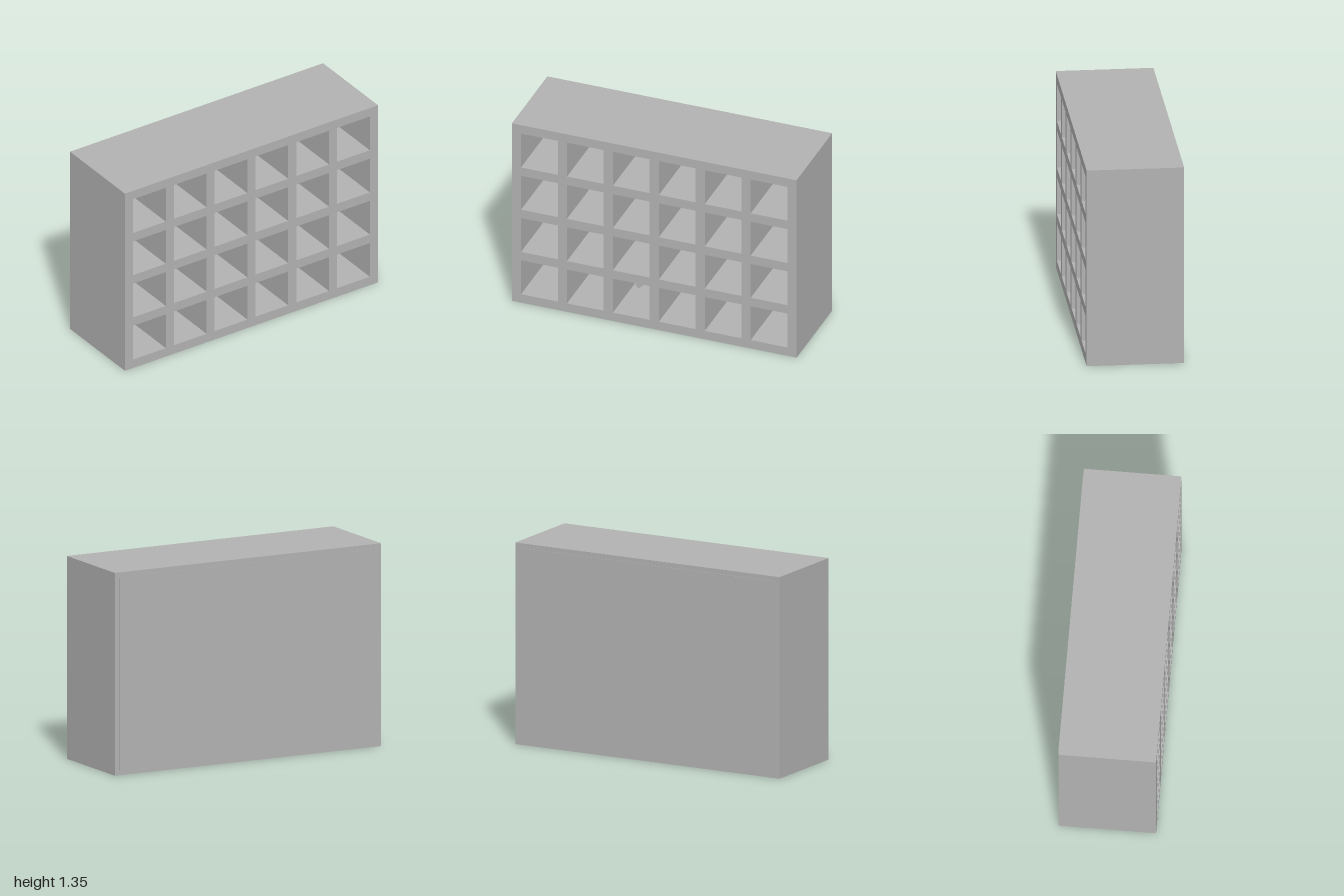
import * as THREE from 'three';

const U = 2 / 31;                       // board thickness; every size follows from it
const COLS = 6, ROWS = 4, CELL = 4 * U, PITCH = 5 * U;
const W = 31 * U, H = 21 * U, D = 10 * U;
const BACK = 0.003;                     // thin back sheet

function rect(path, x, y, w, h) {
  path.moveTo(x, y);
  path.lineTo(x + w, y);
  path.lineTo(x + w, y + h);
  path.lineTo(x, y + h);
  path.closePath();
  return path;
}

export function createModel() {
  const group = new THREE.Group();
  group.name = 'cubbyShelf';
  const grey = new THREE.MeshStandardMaterial({ color: 0xb2b2b2 });
  grey.name = 'grey';

  function add(name, geometry, x, y, z) {
    const mesh = new THREE.Mesh(geometry, grey);
    mesh.name = name;
    mesh.position.set(x, y, z);
    group.add(mesh);
    return mesh;
  }

  // Frame: one block pierced by a grid of square compartments
  const outline = rect(new THREE.Shape(), -W / 2, 0, W, H);
  for (let c = 0; c < COLS; c++) {
    for (let r = 0; r < ROWS; r++) {
      outline.holes.push(rect(new THREE.Path(), -W / 2 + U + c * PITCH, U + r * PITCH, CELL, CELL));
    }
  }
  const frame = new THREE.ExtrudeGeometry(outline, { depth: D - BACK, bevelEnabled: false });
  add('frame', frame, 0, 0, -D / 2 + BACK);

  // Back sheet, set in half a board from the edges
  add('backPanel', new THREE.BoxGeometry(W - U, H - U, BACK), 0, H / 2, -D / 2 + BACK / 2);

  // Small tilted plate floating in the middle of the third compartment of the bottom row
  const plate = add('tiltedPlate', new THREE.BoxGeometry(0.155, 0.03, 0.155),
    -W / 2 + U + 2 * PITCH + CELL / 2, U + CELL / 2, 0);
  plate.rotation.z = Math.PI / 4;

  return group;
}
